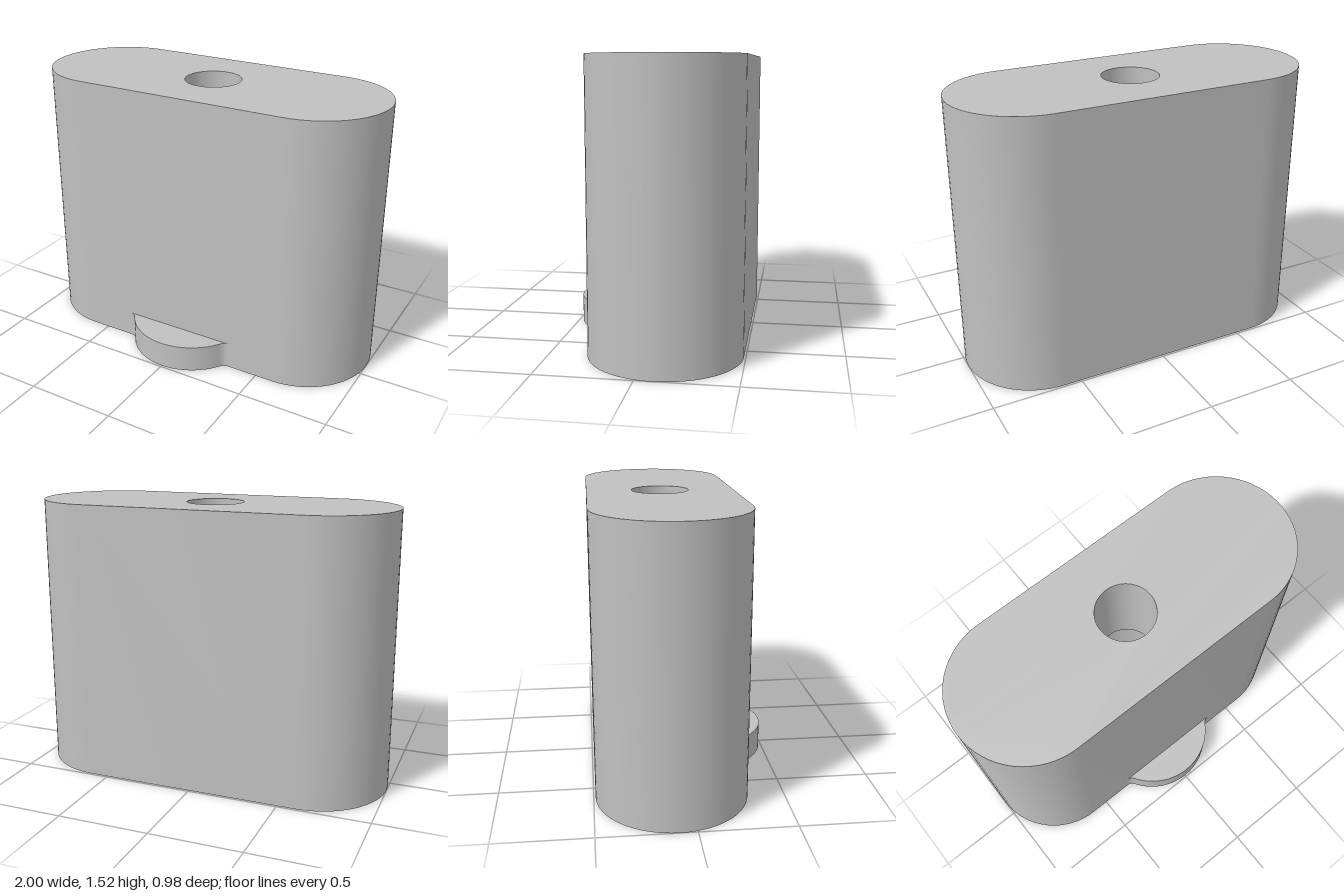
import * as THREE from 'three';
import { toCreasedNormals } from 'three/addons/utils/BufferGeometryUtils.js';

const HEIGHT = 1.52, TAB_HEIGHT = 0.15;
const CENTRE_Z = -0.09, END_X = 0.6, END_R = 0.4;
const HOLE_R = 0.155, BORE_R = 0.28, BORE_DEPTH = 0.95;
const FRONT_Z = CENTRE_Z + END_R;

// Points [x, z] along an arc, angles measured from +x towards +z
function arc(cx, cz, r, from, to, steps) {
  return Array.from({ length: steps + 1 }, (_, i) => {
    const a = from + (to - from) * i / steps;
    return [cx + r * Math.cos(a), cz + r * Math.sin(a)];
  });
}

// Upright wall following a row of points, facing outwards
function wall(points, height, closed) {
  const pos = [];
  const count = closed ? points.length : points.length - 1;
  for (let i = 0; i < count; i++) {
    const [px, pz] = points[i], [qx, qz] = points[(i + 1) % points.length];
    pos.push(px, 0, pz, px, height, pz, qx, height, qz);
    pos.push(px, 0, pz, qx, height, qz, qx, 0, qz);
  }
  const g = new THREE.BufferGeometry();
  g.setAttribute('position', new THREE.Float32BufferAttribute(pos, 3));
  return toCreasedNormals(g, 0.4);
}

// Flat face at height y, facing up or down, with an optional round hole
function cap(points, y, up, holeR) {
  const s = up ? -1 : 1;
  const shape = new THREE.Shape(points.map(([x, z]) => new THREE.Vector2(x, s * z)));
  if (holeR) {
    const rim = arc(0, CENTRE_Z, holeR, 0, Math.PI * 2, 64).slice(0, -1);
    shape.holes.push(new THREE.Path(rim.map(([x, z]) => new THREE.Vector2(x, s * z))));
  }
  return new THREE.ShapeGeometry(shape).rotateX(s * Math.PI / 2).translate(0, y, 0);
}

export function createModel() {
  const model = new THREE.Group();
  model.name = 'spacerBlock';
  const grey = new THREE.MeshStandardMaterial({ color: 0xc0c0c0 });
  grey.name = 'grey';
  const add = (parent, name, geometry) => {
    const mesh = new THREE.Mesh(geometry, grey);
    mesh.name = name;
    parent.add(mesh);
    return mesh;
  };

  // Block with rounded ends
  const body = new THREE.Group();
  body.name = 'body';
  model.add(body);
  const q = Math.PI / 2;
  const outline = [
    ...arc(END_X, CENTRE_Z, END_R, -q, q, 32),
    ...arc(-END_X, CENTRE_Z, END_R, q, 3 * q, 32),
  ];
  add(body, 'bodyWall', wall(outline, HEIGHT, true));
  add(body, 'bodyTop', cap(outline, HEIGHT, true, HOLE_R));
  add(body, 'bodyBottom', cap(outline, 0, false, BORE_R));

  // Stepped hole: narrow at the top, wide at the bottom, facing its axis
  const profile = [
    [HOLE_R, HEIGHT], [HOLE_R, BORE_DEPTH], [BORE_R, BORE_DEPTH], [BORE_R, 0],
  ].map(([r, y]) => new THREE.Vector2(r, y));
  const hole = add(body, 'steppedHole',
    toCreasedNormals(new THREE.LatheGeometry(profile, 64), 0.4));
  hole.position.z = CENTRE_Z;

  // Low rounded tab at the front, blended into the block by small fillets
  const tab = new THREE.Group();
  tab.name = 'frontTab';
  model.add(tab);
  const tabR = 0.34, tabZ = 0.49 - tabR, fillet = 0.05;
  const dz = FRONT_Z + fillet - tabZ;
  const filletX = Math.sqrt((tabR + fillet) ** 2 - dz ** 2);
  const touch = Math.atan2(dz, filletX);
  const blend = arc(filletX, FRONT_Z + fillet, fillet, -q, touch - Math.PI, 6);
  const tabOutline = [
    ...blend,
    ...arc(0, tabZ, tabR, touch, Math.PI - touch, 28).slice(1, -1),
    ...blend.map(([x, z]) => [-x, z]).reverse(),
  ];
  add(tab, 'tabWall', wall(tabOutline, TAB_HEIGHT, false));
  add(tab, 'tabTop', cap(tabOutline, TAB_HEIGHT, true));
  add(tab, 'tabBottom', cap(tabOutline, 0, false));

  return model;
}
